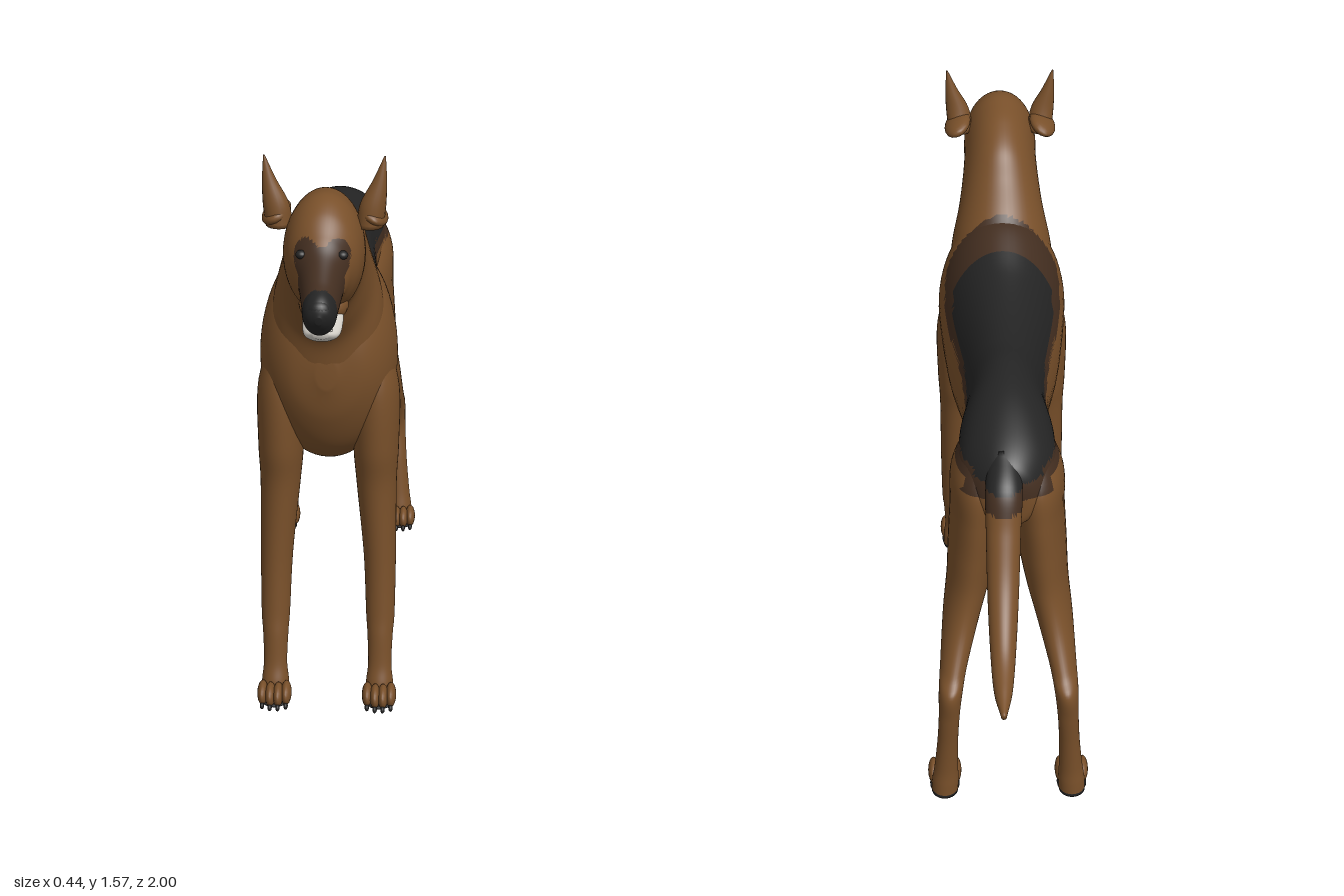
import * as THREE from 'three';

const mat = (name, color, side = THREE.FrontSide) => {
  const m = new THREE.MeshStandardMaterial({ color, side });
  m.name = name;
  return m;
};
const brown = mat('brown coat', 0x79502a);
const dark = mat('dark brown coat', 0x432e20);
const black = mat('black coat', 0x242424);
const white = mat('white teeth', 0xd6d2ca);
const tan = mat('tan tongue', 0xa07a4c);
const coatMaterials = [brown, dark, black];

// Coat pattern: saddle, face mask, nose and paw soles
function coat(x, y, z) {
  if (y < 0.014) return 2;
  if (z > 0.7) {
    if (z > 0.945 && y < 1.325) return 2;
    if (z > 0.85 - (y - 1.25) * 0.15) return 1;
    const ex = (Math.abs(x) - 0.035) / 0.034, ey = (y - 1.36) / 0.045;
    return z > 0.77 && ex * ex + ey * ey < 1 ? 1 : 0;
  }
  const low = z < -0.5 ? 0.03 : 0;
  const curve = (edge) => 3.5 * Math.max(0, z - edge) ** 2;
  if (z < 0.27 && y > 1.035 - low / 2 + curve(0.13)) return 2;
  if (z < 0.375 && y > 1.0 - low + curve(0.2)) return 1;
  return 0;
}

// Smooth loft. Each row: [zA, yA, zB, yB, halfWidth, centreX], A and B being
// opposite ends of an elliptical cross-section.
function loft(rows, side = 1, steps = 8, around = 40) {
  const flat = rows.flatMap(([a, b, c, d, w, cx = 0]) => [a, b, c, d, w, cx * side]);
  const spline = new THREE.CubicInterpolant(rows.map((_, i) => i), flat, 6);
  const n = (rows.length - 1) * steps;
  const pos = [], tris = [];
  for (let i = 0; i <= n; i++) {
    const [zA, yA, zB, yB, w, cx] = spline.evaluate(i / steps);
    for (let j = 0; j < around; j++) {
      const t = (j / around) * Math.PI * 2, c = (1 + Math.cos(t)) / 2;
      pos.push(cx + Math.max(w, 0.001) * Math.sin(t), yB + (yA - yB) * c, zB + (zA - zB) * c);
    }
  }
  for (let i = 0; i < n; i++) {
    for (let j = 0; j < around; j++) {
      const a = i * around + j, b = i * around + ((j + 1) % around);
      tris.push([a, b, a + around], [b, b + around, a + around]);
    }
  }
  // End caps
  [0, n].forEach((ring) => {
    const [zA, yA, zB, yB, , cx] = spline.evaluate(ring / steps);
    const centre = pos.length / 3;
    pos.push(cx, (yA + yB) / 2, (zA + zB) / 2);
    for (let j = 0; j < around; j++) {
      const a = ring * around + j, b = ring * around + ((j + 1) % around);
      tris.push(ring ? [a, b, centre] : [b, a, centre]);
    }
  });
  // Turn all faces outwards, then sort them by coat colour
  const p = (i) => new THREE.Vector3().fromArray(pos, i * 3);
  const volume = tris.reduce((s, [a, b, c]) => s + p(a).dot(p(b).cross(p(c))), 0);
  const buckets = [[], [], []];
  tris.forEach(([a, b, c]) => {
    const m = p(a).add(p(b)).add(p(c)).divideScalar(3);
    buckets[coat(m.x, m.y, m.z)].push(...(volume > 0 ? [a, b, c] : [a, c, b]));
  });
  const g = new THREE.BufferGeometry();
  g.setAttribute('position', new THREE.Float32BufferAttribute(pos, 3));
  g.setIndex(buckets.flat());
  let start = 0;
  buckets.forEach((b, i) => {
    if (b.length) g.addGroup(start, b.length, i);
    start += b.length;
  });
  g.computeVertexNormals();
  return g;
}

const torsoRows = [
  [0.59, 1.0, 0.59, 0.92, 0.025], [0.57, 1.1, 0.565, 0.82, 0.1], [0.52, 1.19, 0.51, 0.72, 0.15],
  [0.45, 1.24, 0.43, 0.66, 0.177], [0.36, 1.255, 0.35, 0.645, 0.176], [0.2, 1.195, 0.2, 0.64, 0.158],
  [0.05, 1.165, 0.08, 0.67, 0.135], [-0.08, 1.16, -0.06, 0.745, 0.117], [-0.2, 1.17, -0.2, 0.81, 0.108],
  [-0.33, 1.155, -0.33, 0.85, 0.125], [-0.45, 1.115, -0.44, 0.85, 0.125],
  [-0.53, 1.07, -0.53, 0.87, 0.08], [-0.56, 1.02, -0.55, 0.93, 0.03],
];
const headRows = [
  [0.3, 1.21, 0.57, 0.86, 0.15], [0.37, 1.265, 0.587, 0.97, 0.14], [0.435, 1.35, 0.605, 1.05, 0.12],
  [0.49, 1.415, 0.65, 1.11, 0.108], [0.57, 1.457, 0.68, 1.15, 0.102], [0.64, 1.475, 0.7, 1.17, 0.102],
  [0.7, 1.48, 0.72, 1.18, 0.1], [0.76, 1.455, 0.76, 1.205, 0.09], [0.81, 1.41, 0.8, 1.228, 0.07],
  [0.85, 1.375, 0.84, 1.228, 0.056], [0.92, 1.337, 0.9, 1.215, 0.046], [0.97, 1.317, 0.955, 1.213, 0.04],
  [0.993, 1.297, 0.98, 1.235, 0.028], [1.0, 1.275, 0.995, 1.255, 0.008],
];
const tailRows = [
  [-0.5, 1.09, -0.47, 1.0, 0.045, 0.01], [-0.595, 1.03, -0.54, 0.97, 0.048, 0.012],
  [-0.645, 0.925, -0.57, 0.89, 0.045, 0.014], [-0.72, 0.8, -0.64, 0.765, 0.041, 0.016],
  [-0.825, 0.7, -0.745, 0.66, 0.034, 0.018], [-0.935, 0.655, -0.88, 0.61, 0.024, 0.02],
  [-1.0, 0.635, -0.995, 0.615, 0.007, 0.02],
];
const frontLegRows = [
  [0.5, 1.0, 0.35, 0.97, 0.03, 0.125], [0.535, 0.88, 0.345, 0.86, 0.06, 0.125],
  [0.535, 0.72, 0.355, 0.7, 0.06, 0.125], [0.52, 0.6, 0.375, 0.6, 0.053, 0.127],
  [0.52, 0.4, 0.41, 0.4, 0.043, 0.137], [0.53, 0.25, 0.45, 0.22, 0.038, 0.14],
  [0.54, 0.18, 0.465, 0.18, 0.034, 0.14], [0.55, 0.1, 0.495, 0.1, 0.031, 0.14],
  [0.565, 0.05, 0.495, 0.045, 0.036, 0.14], [0.57, 0.005, 0.5, 0.005, 0.036, 0.14],
];
const hindLegRows = [
  [-0.3, 1.06, -0.48, 1.06, 0.045, 0.065], [-0.235, 0.95, -0.535, 0.97, 0.073, 0.075],
  [-0.225, 0.85, -0.54, 0.86, 0.07, 0.082], [-0.265, 0.75, -0.535, 0.74, 0.066, 0.092],
  [-0.31, 0.65, -0.535, 0.63, 0.058, 0.105], [-0.37, 0.55, -0.56, 0.53, 0.049, 0.125],
  [-0.47, 0.45, -0.615, 0.43, 0.037, 0.145], [-0.55, 0.37, -0.655, 0.385, 0.032, 0.155],
  [-0.585, 0.3, -0.645, 0.3, 0.028, 0.16], [-0.57, 0.2, -0.63, 0.2, 0.028, 0.165],
  [-0.555, 0.1, -0.62, 0.1, 0.032, 0.17], [-0.545, 0.05, -0.62, 0.045, 0.036, 0.173],
  [-0.54, 0.005, -0.62, 0.005, 0.036, 0.175],
];
const earRows = [
  [0.7, 1.39, 0.62, 1.39, 0.034, 0.112], [0.695, 1.45, 0.64, 1.45, 0.032, 0.12],
  [0.682, 1.51, 0.652, 1.51, 0.017, 0.136], [0.667, 1.57, 0.663, 1.57, 0.002, 0.148],
];
const jawRows = [
  [0.71, 1.225, 0.7, 1.165, 0.05], [0.78, 1.2, 0.775, 1.152, 0.05],
  [0.84, 1.19, 0.835, 1.15, 0.043], [0.885, 1.195, 0.88, 1.172, 0.018],
];

export function createModel() {
  const model = new THREE.Group();
  const add = (name, geometry, material, parent = model) => {
    const mesh = new THREE.Mesh(geometry, material);
    mesh.name = name;
    parent.add(mesh);
    return mesh;
  };
  const ball = (name, material, [x, y, z], [sx, sy, sz], parent) => {
    const mesh = add(name, new THREE.SphereGeometry(1, 20, 14), material, parent);
    mesh.position.set(x, y, z);
    mesh.scale.set(sx, sy, sz);
    return mesh;
  };

  add('torso', loft(torsoRows, 1, 10, 64), coatMaterials);
  add('neckAndHead', loft(headRows, 1, 10, 56), coatMaterials);
  add('tail', loft(tailRows), coatMaterials);
  ball('bellySheath', brown, [0, 0.8, -0.13], [0.028, 0.032, 0.09]).rotation.x = -0.45;

  // Open mouth
  add('lowerJaw', loft(jawRows), [white, white, white]);
  ball('jawHinge', brown, [0, 1.205, 0.725], [0.062, 0.045, 0.055]);
  ball('tongue', tan, [0, 1.197, 0.82], [0.026, 0.01, 0.055]);
  ball('nose', black, [0, 1.285, 0.972], [0.03, 0.026, 0.025]);

  for (const side of [1, -1]) {
    const s = side > 0 ? 'left' : 'right';
    add(s + 'Ear', loft(earRows, side, 6, 20), coatMaterials.map(() => brown));
    const flap = ball(s + 'EarFlap', brown, [side * 0.12, 1.415, 0.64], [0.04, 0.022, 0.065]);
    flap.rotation.z = -side * 0.5;
    ball(s + 'Eye', black, [side * 0.05, 1.368, 0.817], [0.014, 0.011, 0.014]);
    const fang = add(s + 'Fang', new THREE.ConeGeometry(0.007, 0.03, 10), white);
    fang.position.set(side * 0.022, 1.205, 0.865);

    // Legs with toes, claws and soles
    const paws = [['FrontLeg', frontLegRows, 0.14, 0.587], ['HindLeg', hindLegRows, 0.175, -0.528]];
    for (const [part, rows, px, pz] of paws) {
      const leg = new THREE.Group();
      leg.name = s + part;
      model.add(leg);
      add('limb', loft(rows, side), coatMaterials, leg);
      for (let i = 0; i < 4; i++) {
        const dx = (i - 1.5) * 0.021, inner = i === 1 || i === 2 ? 0.01 : 0;
        const x = side * px + dx, z = pz + inner;
        ball('toe', brown, [x, 0.034, z - 0.006], [0.0145, 0.03, 0.042], leg);
        ball('claw', black, [x, 0.013, z + 0.028], [0.006, 0.01, 0.013], leg);
      }
      ball('solePad', black, [side * px, 0.009, pz - 0.03], [0.041, 0.009, 0.06], leg);
    }
  }
  return model;
}
